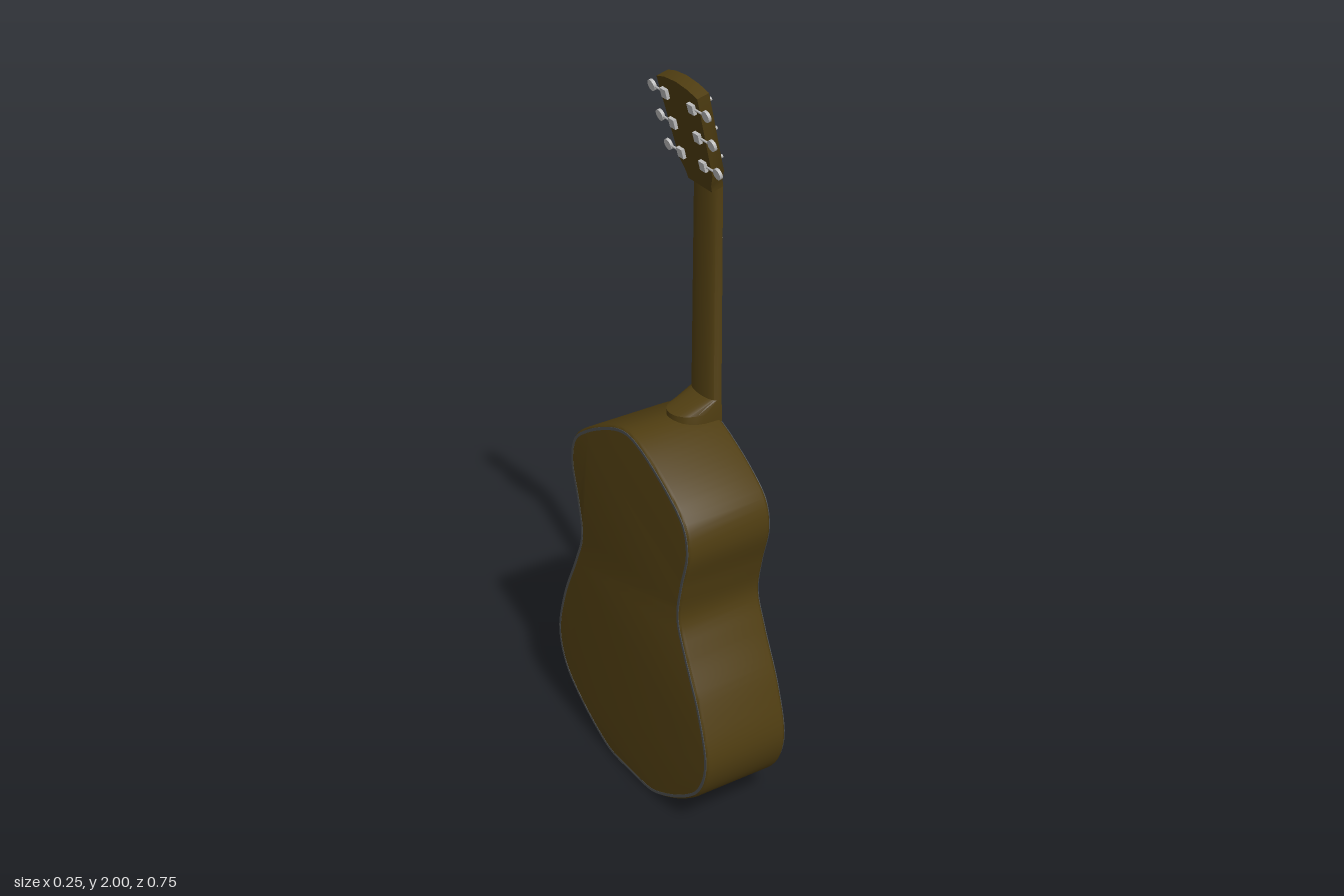
import * as THREE from 'three';
import { toCreasedNormals } from 'three/addons/utils/BufferGeometryUtils.js';

const paint = (color) => new THREE.MeshStandardMaterial({ color });
const WOOD = paint(0x4f3d11), SPRUCE = paint(0x9a7355), BINDING = paint(0x484a4a);
const BOARD = paint(0x4a4a4c), GUARD = paint(0x400c0e), METAL = paint(0xbbbbbb);

function add(parent, name, geometry, material, x = 0, y = 0, z = 0) {
  const mesh = new THREE.Mesh(geometry, material);
  mesh.name = name;
  mesh.position.set(x, y, z);
  parent.add(mesh);
  return mesh;
}

const vecs = (pts) => pts.map(([x, y]) => new THREE.Vector2(x, y));

// Flat plate cut from an outline, with an optional hole and rounded edge
function plate(points, depth, { hole, bevel = 0 } = {}) {
  const shape = new THREE.Shape(points);
  if (hole) shape.holes.push(new THREE.Path(hole));
  const geo = new THREE.ExtrudeGeometry(shape, {
    depth: depth - 2 * bevel, bevelEnabled: bevel > 0, bevelSize: bevel,
    bevelThickness: bevel, bevelOffset: -bevel, bevelSegments: 3,
  });
  geo.translate(0, 0, bevel);
  return toCreasedNormals(geo, 0.6);
}

// Smooth closed outline through a few points
function smooth(pts, n) {
  const curve = new THREE.CatmullRomCurve3(pts.map(([x, y]) => new THREE.Vector3(x, y, 0)), true);
  return curve.getSpacedPoints(n).slice(0, n).map((p) => new THREE.Vector2(p.x, p.y));
}

// Move a counter-clockwise outline inwards
function inset(points, d) {
  const n = points.length;
  return points.map((p, i) => {
    const t = points[(i + 1) % n].clone().sub(points[(i + n - 1) % n]).normalize();
    return new THREE.Vector2(p.x - t.y * d, p.y + t.x * d);
  });
}

// Neck with a D-shaped section; rows are [y, half width, front z, depth]
function neckGeometry(rows, seg = 14) {
  const pos = [], index = [], n = seg + 1;
  rows.forEach(([y, w, front, depth]) => {
    for (let j = 0; j <= seg; j++) {
      const a = (Math.PI * j) / seg;
      pos.push(w * Math.cos(a), y, front - depth * Math.pow(Math.max(0, Math.sin(a)), 0.6));
    }
  });
  for (let i = 0; i < rows.length - 1; i++) {
    for (let j = 0; j < n; j++) {
      const k = (j + 1) % n, a = i * n + j, b = i * n + k;
      index.push(a, b, b + n, a, b + n, a + n);
    }
  }
  const geo = new THREE.BufferGeometry();
  geo.setAttribute('position', new THREE.Float32BufferAttribute(pos, 3));
  geo.setIndex(index);
  return toCreasedNormals(geo, 0.7);
}

function buildBody(g) {
  const half = [[0.1, 0.005], [0.15, 0.022], [0.27, 0.092], [0.345, 0.165], [0.376, 0.265], [0.342, 0.41],
    [0.275, 0.56], [0.243, 0.65], [0.258, 0.75], [0.286, 0.865], [0.268, 0.94], [0.205, 0.997], [0.065, 1.072]];
  const mirrored = half.map(([x, y]) => [-x, y]).reverse();
  const outline = smooth([[0, 0.002], ...half, [0, 1.086], ...mirrored], 140);
  add(g, 'body', plate(outline, 0.246, { bevel: 0.01 }), WOOD, 0, 0, -0.127);
  const rim = inset(outline, 0.006), inner = inset(outline, 0.024);
  add(g, 'frontBinding', plate(rim, 0.003, { hole: inner }), BINDING, 0, 0, 0.1175);
  add(g, 'backBinding', plate(rim, 0.003, { hole: inset(outline, 0.014) }), BINDING, 0, 0, -0.128);
  add(g, 'soundboard', plate(inner, 0.003), SPRUCE, 0, 0, 0.117);

  // Soundhole disc with its ring
  add(g, 'soundhole', new THREE.CylinderGeometry(0.082, 0.082, 0.006, 40), WOOD, 0, 0.68, 0.122)
    .rotation.x = Math.PI / 2;
  add(g, 'soundholeRing', new THREE.TorusGeometry(0.082, 0.004, 6, 40), WOOD, 0, 0.68, 0.121);

  const guard = smooth([[0.08, 0.718], [0.145, 0.72], [0.185, 0.695], [0.205, 0.645], [0.25, 0.54], [0.287, 0.455],
    [0.28, 0.42], [0.25, 0.402], [0.15, 0.425], [0.06, 0.448], [0.044, 0.465], [0.065, 0.54], [0.088, 0.63]], 70);
  add(g, 'pickguard', plate(guard, 0.002), GUARD, 0, 0, 0.12);

  const bridge = vecs([[-0.07, 0.414], [-0.07, 0.392], [-0.038, 0.39], [-0.02, 0.378], [0, 0.374],
    [0.02, 0.378], [0.038, 0.39], [0.07, 0.392], [0.07, 0.414]]);
  add(g, 'bridge', plate(bridge, 0.008), WOOD, 0, 0, 0.119);
}

function buildNeck(g) {
  add(g, 'neck', neckGeometry([[1.05, 0.06, 0.12, 0.12], [1.1, 0.06, 0.12, 0.12],
    [1.13, 0.057, 0.12, 0.032], [1.725, 0.052, 0.12, 0.03]]), WOOD);
  const strip = (y0, w0, y1, w1) => vecs([[-w0, y0], [w0, y0], [w1, y1], [-w1, y1]]);
  add(g, 'neckExtension', plate(strip(0.75, 0.06, 1.1, 0.057), 0.012), WOOD, 0, 0, 0.109);
  add(g, 'fretboard', plate(strip(0.755, 0.049, 1.72, 0.044), 0.006), BOARD, 0, 0, 0.118);
  add(g, 'nut', new THREE.BoxGeometry(0.09, 0.008, 0.008), BOARD, 0, 1.72, 0.121);

  // Frets follow the equal-tempered spacing
  for (let i = 1; i <= 20; i++) {
    const y = 1.72 - 1.32 * (1 - Math.pow(2, -i / 12));
    const width = 0.088 + (0.01 * (1.72 - y)) / 0.965;
    add(g, 'fret', new THREE.BoxGeometry(width, 0.003, 0.003), METAL, 0, y, 0.1245);
  }
  const dots = [[0, 1.35], [-0.013, 1.23], [0.013, 1.23], [0, 1.125], [-0.013, 1.035], [0.013, 1.035], [0, 0.925]];
  for (const [x, y] of dots) {
    add(g, 'fretMarker', new THREE.CylinderGeometry(0.005, 0.005, 0.002, 12), METAL, x, y, 0.1238)
      .rotation.x = Math.PI / 2;
  }
}

function buildHeadstock(g) {
  const head = new THREE.Group();
  head.name = 'headstock';
  head.position.set(0, 1.72, 0.12);
  head.rotation.x = -0.25;
  g.add(head);
  const side = [[0.052, -0.004], [0.055, 0.015], [0.073, 0.05], [0.088, 0.272], [0.05, 0.283]];
  const outline = vecs([...side, [0, 0.288], ...side.map(([x, y]) => [-x, y]).reverse()]);
  add(head, 'headstockPlate', plate(outline, 0.034), WOOD, 0, 0, -0.034);

  // Tuning machines, three on each side
  for (const s of [-1, 1]) {
    for (let i = 0; i < 3; i++) {
      const y = 0.073 + i * 0.082, x = s * (0.048 + i * 0.005), tip = s * (0.107 + i * 0.005);
      const tuner = new THREE.Group();
      tuner.name = 'tuner';
      head.add(tuner);
      add(tuner, 'collar', new THREE.CylinderGeometry(0.01, 0.01, 0.004, 14), METAL, x, y, 0.002)
        .rotation.x = Math.PI / 2;
      add(tuner, 'post', new THREE.CylinderGeometry(0.005, 0.005, 0.06, 12), METAL, x, y, -0.012)
        .rotation.x = Math.PI / 2;
      add(tuner, 'gearHousing', new THREE.BoxGeometry(0.024, 0.026, 0.01), METAL, x, y, -0.038);
      add(tuner, 'shaft', new THREE.CylinderGeometry(0.003, 0.003, Math.abs(tip - x), 8), METAL,
        (x + tip) / 2, y, -0.036).rotation.z = Math.PI / 2;
      const button = add(tuner, 'button', new THREE.CylinderGeometry(0.015, 0.015, 0.008, 16), METAL, tip, y, -0.036);
      button.rotation.x = Math.PI / 2;
    }
  }
}

export function createModel() {
  const model = new THREE.Group();
  model.name = 'acousticGuitar';
  // Parts are laid out facing +z, then turned so the soundboard faces +x
  const guitar = new THREE.Group();
  guitar.name = 'guitar';
  guitar.rotation.y = Math.PI / 2;
  model.add(guitar);
  buildBody(guitar);
  buildNeck(guitar);
  buildHeadstock(guitar);
  return model;
}
